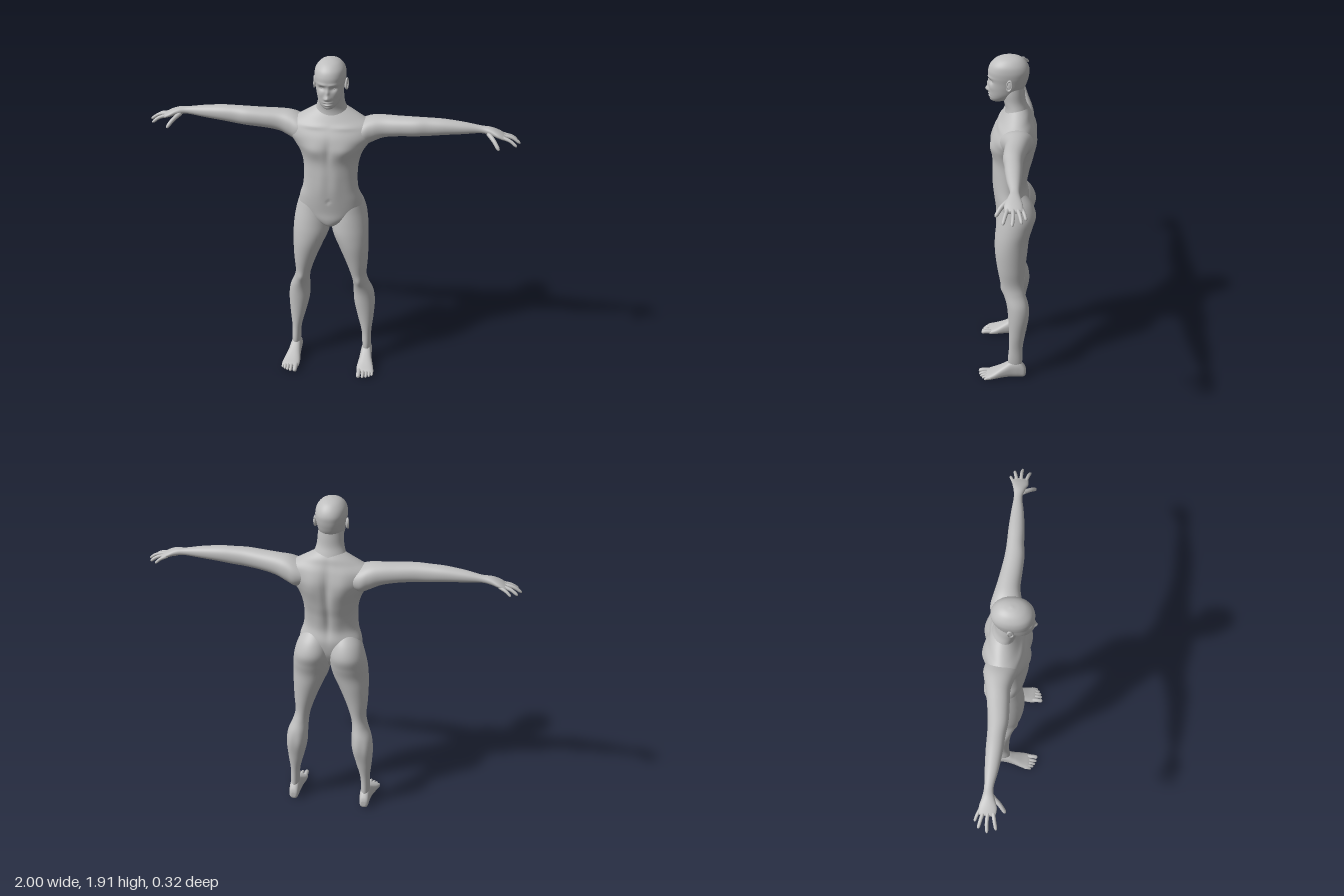
import * as THREE from 'three';

const skinMaterial = new THREE.MeshStandardMaterial({ color: 0xbfbfbf });
skinMaterial.name = 'skin grey';

// Closed smooth surface through rings of points, turned outward whichever side it is built on
function skin(rings) {
  const n = rings[0].length, points = rings.flat(), index = [];
  for (let r = 0; r < rings.length - 1; r++) {
    for (let i = 0; i < n; i++) {
      const a = r * n + i, b = r * n + (i + 1) % n;
      index.push(a, b, a + n, b, b + n, a + n);
    }
  }
  for (const r of [0, rings.length - 1]) {
    const centre = new THREE.Vector3();
    rings[r].forEach(p => centre.addScaledVector(p, 1 / n));
    const c = points.push(centre) - 1;
    for (let i = 0; i < n; i++) {
      const a = r * n + i, b = r * n + (i + 1) % n;
      if (r === 0) index.push(b, a, c); else index.push(a, b, c);
    }
  }
  let volume = 0;
  const cross = new THREE.Vector3();
  for (let k = 0; k < index.length; k += 3) {
    cross.crossVectors(points[index[k + 1]], points[index[k + 2]]);
    volume += points[index[k]].dot(cross);
  }
  if (volume < 0) index.reverse();
  const geometry = new THREE.BufferGeometry().setFromPoints(points);
  geometry.setIndex(index);
  geometry.computeVertexNormals();
  return geometry;
}

// Catmull-Rom blend between cross-section keys
function sample(keys, u) {
  const last = keys.length - 1, k = Math.min(Math.floor(u), last - 1), f = u - k;
  const at = i => keys[Math.max(0, Math.min(last, i))];
  return keys[0].map((_, c) => {
    const [p, q, r, s] = [at(k - 1)[c], at(k)[c], at(k + 1)[c], at(k + 2)[c]];
    return q + 0.5 * f * (r - p + f * (2 * p - 5 * q + 4 * r - s + f * (3 * (q - r) + s - p)));
  });
}

// Axis layouts: a key is [t, aMin, aMax, bMin, bMax]
const layouts = {
  x: (t, a, b) => new THREE.Vector3(t, b, a),
  y: (t, a, b) => new THREE.Vector3(a, t, b),
  z: (t, a, b) => new THREE.Vector3(a, b, t),
};

// Loft of superellipses; bumps [x, y, sizeX, sizeY, amount, face] push z on the front (1) or back (-1)
function loft(axis, keys, { side = 1, power = 2, segments = 48, steps = 6, bumps = [] } = {}) {
  const rings = [], rows = (keys.length - 1) * steps;
  for (let r = 0; r <= rows; r++) {
    const [t, a0, a1, b0, b1] = sample(keys, r / steps), ring = [];
    for (let i = 0; i < segments; i++) {
      const angle = i / segments * Math.PI * 2;
      const curve = v => Math.sign(v) * Math.abs(v) ** (2 / power);
      const c = Math.cos(angle), s = Math.sin(angle);
      const p = layouts[axis](t, (a0 + a1 + (a1 - a0) * curve(c)) / 2, (b0 + b1 + (b1 - b0) * curve(s)) / 2);
      let push = 0;
      for (const [x, y, sx, sy, amount, face] of bumps) {
        const weight = Math.max(0, s * face);
        push += face * amount * weight * Math.exp(-(((Math.abs(p.x) - x) / sx) ** 2) - ((p.y - y) / sy) ** 2);
      }
      p.z += push;
      p.x *= side;
      ring.push(p);
    }
    rings.push(ring);
  }
  return skin(rings);
}

// Finger or toe: tapered round sweep with a rounded tip
function digit(path, radius, side) {
  const curve = new THREE.CatmullRomCurve3(path.map(([x, y, z]) => new THREE.Vector3(x * side, y, z)));
  const rings = [], up = new THREE.Vector3(0, 1, 0);
  for (let r = 0; r <= 18; r++) {
    const t = Math.sin(r / 18 * Math.PI / 2), p = curve.getPoint(t), d = curve.getTangent(t);
    const u = new THREE.Vector3().crossVectors(d, up).normalize(), v = new THREE.Vector3().crossVectors(u, d);
    const tip = t > 0.82 ? Math.sqrt(Math.max(0.001, 1 - ((t - 0.82) / 0.18) ** 2)) : 1;
    const size = radius * (1 - 0.2 * t) * tip;
    rings.push(Array.from({ length: 14 }, (_, i) => {
      const angle = i / 14 * Math.PI * 2;
      return p.clone().addScaledVector(u, Math.cos(angle) * size).addScaledVector(v, Math.sin(angle) * size);
    }));
  }
  return skin(rings);
}

// Symmetric keys: [y, halfWidth, back, front]
const symmetric = keys => keys.map(([y, w, back, front]) => [y, -w, w, back, front]);

const torsoKeys = symmetric([
  [0.925, 0.02, -0.05, 0.02], [0.945, 0.05, -0.07, 0.05], [0.98, 0.11, -0.09, 0.062], [1.03, 0.168, -0.11, 0.064],
  [1.1, 0.172, -0.118, 0.072], [1.17, 0.152, -0.104, 0.078], [1.25, 0.147, -0.116, 0.08], [1.32, 0.153, -0.136, 0.081],
  [1.38, 0.172, -0.148, 0.086], [1.43, 0.203, -0.152, 0.086], [1.48, 0.235, -0.151, 0.076], [1.53, 0.235, -0.142, 0.05],
  [1.57, 0.17, -0.128, 0.026], [1.6, 0.12, -0.118, 0.008], [1.63, 0.07, -0.1, -0.01],
]);
const torsoBumps = [
  [0.085, 1.41, 0.06, 0.045, 0.014, 1], [0, 1.4, 0.018, 0.07, -0.006, 1], [0.04, 1.22, 0.03, 0.1, 0.004, 1],
  [0, 1.105, 0.009, 0.01, -0.006, 1], [0.09, 1.535, 0.07, 0.012, 0.005, 1],
  [0.085, 1.45, 0.05, 0.08, 0.014, -1], [0, 1.42, 0.022, 0.12, -0.014, -1], [0, 1.22, 0.016, 0.1, -0.007, -1],
  [0.05, 1.22, 0.03, 0.1, 0.005, -1],
];
const neckKeys = symmetric([
  [1.53, 0.1, -0.13, 0.03], [1.58, 0.098, -0.122, 0.015], [1.62, 0.083, -0.108, 0.012],
  [1.66, 0.072, -0.095, 0.022], [1.71, 0.068, -0.09, 0.035], [1.76, 0.06, -0.085, 0.03],
]);
const headKeys = symmetric([
  [1.653, 0.014, 0.035, 0.075], [1.658, 0.028, 0.015, 0.084], [1.674, 0.047, -0.02, 0.091], [1.7, 0.061, -0.06, 0.095],
  [1.735, 0.07, -0.09, 0.097], [1.77, 0.076, -0.105, 0.098], [1.8, 0.081, -0.112, 0.1], [1.83, 0.082, -0.114, 0.099],
  [1.86, 0.075, -0.102, 0.087], [1.885, 0.056, -0.08, 0.061], [1.899, 0.032, -0.052, 0.029], [1.905, 0.004, -0.016, -0.006],
]);
const faceBumps = [
  [0, 1.722, 0.012, 0.013, 0.018, 1], [0, 1.75, 0.009, 0.02, 0.009, 1], [0.012, 1.717, 0.008, 0.008, 0.006, 1],
  [0.032, 1.772, 0.018, 0.012, -0.013, 1], [0.03, 1.794, 0.03, 0.008, 0.004, 1], [0.046, 1.738, 0.018, 0.018, 0.004, 1],
  [0, 1.696, 0.02, 0.005, 0.007, 1], [0, 1.682, 0.018, 0.005, 0.007, 1], [0, 1.689, 0.022, 0.0025, -0.004, 1],
  [0, 1.664, 0.018, 0.01, 0.004, 1],
];
const legKeys = [
  [0.03, 0.192, 0.228, -0.085, -0.03], [0.1, 0.186, 0.236, -0.09, -0.008], [0.2, 0.18, 0.236, -0.092, -0.013],
  [0.3, 0.155, 0.246, -0.107, -0.013], [0.4, 0.132, 0.252, -0.123, -0.008], [0.48, 0.128, 0.243, -0.12, 0],
  [0.55, 0.126, 0.216, -0.102, 0.018], [0.61, 0.115, 0.204, -0.095, 0.034], [0.7, 0.085, 0.21, -0.102, 0.052],
  [0.8, 0.045, 0.213, -0.113, 0.066], [0.88, 0.012, 0.212, -0.122, 0.067], [0.95, 0.001, 0.207, -0.142, 0.06],
  [1.02, 0.001, 0.195, -0.158, 0.05], [1.09, 0.01, 0.172, -0.132, 0.04], [1.15, 0.03, 0.13, -0.08, 0.02],
];
const legBumps = [
  [0.165, 0.575, 0.025, 0.03, 0.008, 1], [0.16, 0.43, 0.025, 0.07, 0.006, -1], [0.225, 0.43, 0.02, 0.07, 0.005, -1],
];
const footKeys = [
  [-0.112, 0.197, 0.223, 0.02, 0.05], [-0.102, 0.186, 0.237, 0.003, 0.075], [-0.07, 0.181, 0.241, 0, 0.108],
  [-0.025, 0.179, 0.244, 0, 0.106], [0.02, 0.176, 0.252, 0, 0.079], [0.07, 0.17, 0.266, 0, 0.05],
  [0.108, 0.172, 0.272, 0.001, 0.032], [0.122, 0.18, 0.266, 0.006, 0.024],
];
// Upper arm, forearm and palm
const armKeys = [
  [0.1, -0.12, 0.03, 1.44, 1.53], [0.17, -0.14, 0.035, 1.415, 1.56], [0.22, -0.133, 0.02, 1.434, 1.577],
  [0.28, -0.118, 0.007, 1.462, 1.583], [0.36, -0.103, 0.01, 1.478, 1.586], [0.45, -0.09, 0.013, 1.487, 1.59],
  [0.52, -0.086, 0.005, 1.493, 1.59], [0.6, -0.085, 0, 1.503, 1.588], [0.7, -0.08, -0.012, 1.513, 1.577],
  [0.79, -0.074, -0.028, 1.522, 1.562], [0.84, -0.08, -0.018, 1.516, 1.557], [0.88, -0.09, -0.004, 1.506, 1.542],
  [0.912, -0.09, -0.006, 1.497, 1.524], [0.922, -0.08, -0.015, 1.503, 1.516],
];
const fingers = [
  ['thumb', 0.0125, [0.83, 1.527, -0.032], [0.862, 1.504, 0.008], [0.892, 1.466, 0.038]],
  ['indexFinger', 0.01, [0.895, 1.516, -0.022], [0.945, 1.503, -0.01], [0.982, 1.477, 0.001]],
  ['middleFinger', 0.01, [0.895, 1.517, -0.044], [0.955, 1.507, -0.046], [1, 1.479, -0.042]],
  ['ringFinger', 0.01, [0.895, 1.516, -0.064], [0.945, 1.505, -0.077], [0.982, 1.482, -0.086]],
  ['littleFinger', 0.009, [0.885, 1.517, -0.08], [0.923, 1.502, -0.097], [0.948, 1.481, -0.106]],
];
// Toes: x, tip z, radius
const toes = [[0.188, 0.163, 0.0145], [0.213, 0.16, 0.0105], [0.232, 0.153, 0.01], [0.249, 0.143, 0.0095], [0.264, 0.13, 0.009]];

export function createModel() {
  const model = new THREE.Group();
  model.name = 'standingFigure';
  const add = (name, geometry, parent = model) => {
    const mesh = new THREE.Mesh(geometry, skinMaterial);
    mesh.name = name;
    parent.add(mesh);
    return mesh;
  };

  add('torso', loft('y', torsoKeys, { segments: 96, bumps: torsoBumps }));
  add('neck', loft('y', neckKeys));
  add('head', loft('y', headKeys, { power: 2.15, segments: 112, steps: 9, bumps: faceBumps }));

  for (const [label, side] of [['left', 1], ['right', -1]]) {
    const half = new THREE.Group();
    half.name = label + 'Limbs';
    model.add(half);
    add(label + 'Leg', loft('y', legKeys, { side, bumps: legBumps }), half);
    add(label + 'Foot', loft('z', footKeys, { side, power: 2.5 }), half);
    add(label + 'Arm', loft('x', armKeys, { side, power: 2.1 }), half);
    for (const [name, radius, ...path] of fingers) add(label + '-' + name, digit(path, radius, side), half);
    toes.forEach(([x, tip, r], i) => {
      const path = [[x, 0.018, 0.09], [x, 0.019, tip - 0.025], [x, r * 0.85, tip]];
      add(label + 'Toe' + (i + 1), digit(path, r, side), half);
    });

    // Eyeball, ear and ear rim
    add(label + 'Eye', new THREE.SphereGeometry(0.012, 20, 14)).position.set(side * 0.031, 1.772, 0.068);
    const ear = new THREE.Group();
    ear.name = label + 'Ear';
    ear.position.set(side * 0.081, 1.768, -0.012);
    ear.rotation.set(-0.15, side * -0.25, 0);
    model.add(ear);
    add('earShell', new THREE.SphereGeometry(1, 24, 16), ear).scale.set(0.007, 0.03, 0.016);
    const rim = add('earRim', new THREE.TorusGeometry(0.014, 0.0035, 10, 32), ear);
    rim.rotation.y = Math.PI / 2;
    rim.scale.set(1, 1.9, 1.4);
    rim.position.x = side * 0.005;
  }
  return model;
}
